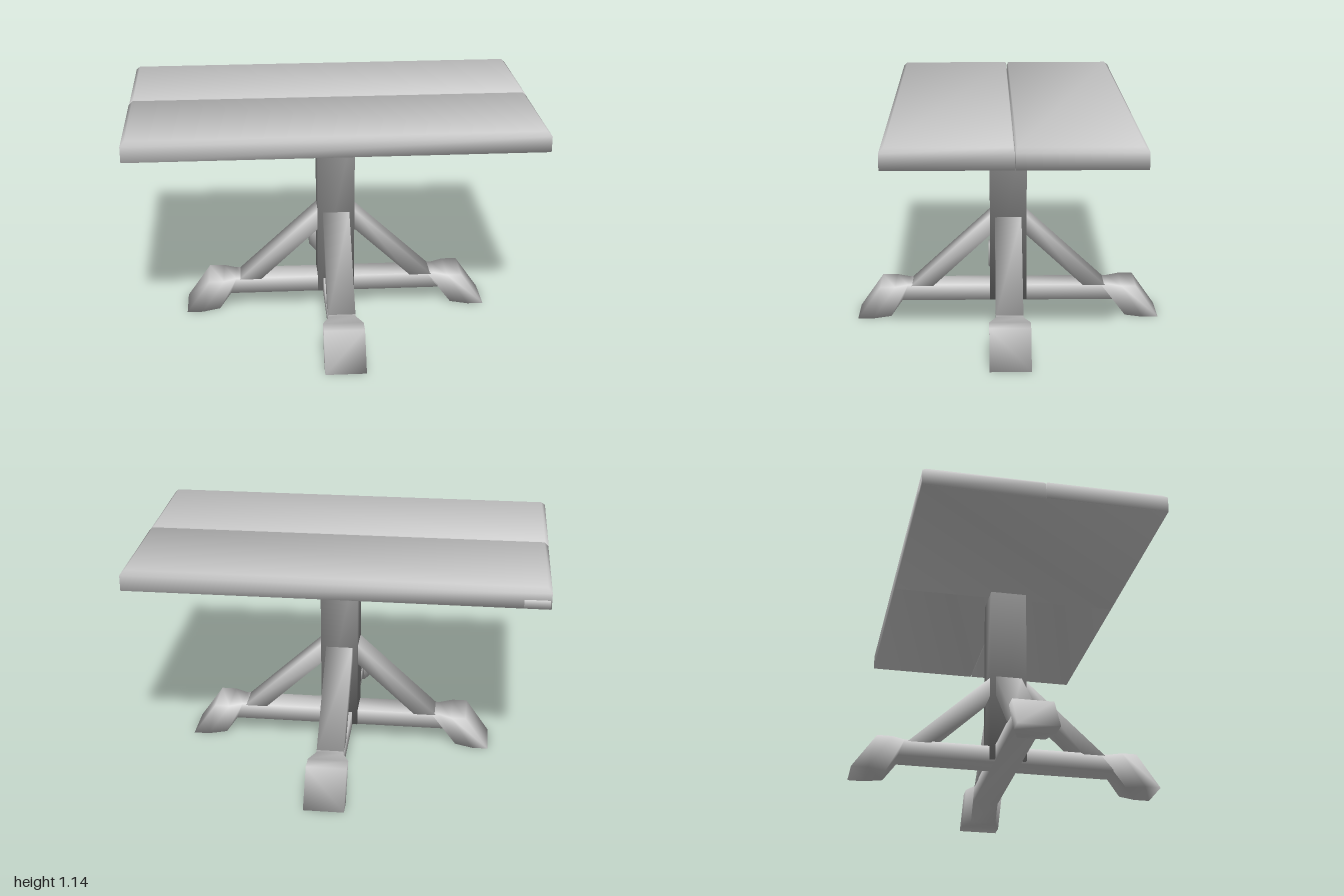
import * as THREE from 'three';
import { toCreasedNormals } from 'three/addons/utils/BufferGeometryUtils.js';

const grey = new THREE.MeshStandardMaterial({ color: 0xcccccc });
const darkGrey = new THREE.MeshStandardMaterial({ color: 0x888888 });

function part(name, geometry, parent, material = grey) {
  const mesh = new THREE.Mesh(geometry, material);
  mesh.name = name;
  parent.add(mesh);
  return mesh;
}

// Skins four-cornered rings, each counter-clockwise seen from the direction of travel,
// caps both ends and smooths the normals over every edge, each face counting alike.
function loft(rings) {
  const index = [];
  const last = (rings.length - 1) * 4;
  for (let i = 0; i < rings.length - 1; i++) {
    for (let j = 0; j < 4; j++) {
      const a = i * 4 + j, b = i * 4 + (j + 1) % 4;
      index.push(a, b, b + 4, a, b + 4, a + 4);
    }
  }
  index.push(0, 2, 1, 0, 3, 2, last, last + 1, last + 2, last, last + 2, last + 3);
  const geometry = new THREE.BufferGeometry();
  geometry.setAttribute('position', new THREE.Float32BufferAttribute(rings.flat(2), 3));
  geometry.setIndex(index);
  return toCreasedNormals(geometry, Math.PI);
}

// Level ring between x0..x1 and z0..z1, for lofting upwards
const levelRing = (y, x0, x1, z0, z1) => [[x0, y, z0], [x0, y, z1], [x1, y, z1], [x1, y, z0]];

// Plank with a bevelled upper edge, slighter on the inner side; outer is the sign of its outer side
function plankGeometry(length, width, outer) {
  const x = length / 2, z = width / 2;
  const back = outer < 0 ? 0.02 : 0.006, front = outer < 0 ? 0.006 : 0.02;
  return loft([
    levelRing(1.038, -x, x, -z, z),
    levelRing(1.115, -x, x, -z, z),
    levelRing(1.136, -x + 0.02, x - 0.02, -z + back, z - front),
  ]);
}

// Floor beam whose ends flare out and slope down into feet
function footBeamGeometry() {
  // top reach, bottom reach, bottom height, half width
  const stations = [
    [0.66, 0.78, 0, 0.1],
    [0.585, 0.70, 0, 0.1],
    [0.52, 0.61, 0, 0.067],
    [0.48, 0.55, 0.088, 0.067],
  ];
  const ring = ([top, bottom, y, w], s) =>
    [[s * bottom, y, -w], [s * top, 0.172, -w], [s * top, 0.172, w], [s * bottom, y, w]];
  return loft([
    ...stations.map((st) => ring(st, -1)),
    ...stations.slice().reverse().map((st) => ring(st, 1)),
  ]);
}

export function createModel() {
  const table = new THREE.Group();
  table.name = 'table';

  // Two-plank top, both planks slightly askew
  const back = part('backPlank', plankGeometry(1.998, 0.582, -1), table);
  back.position.z = -0.3055;
  back.rotation.y = 0.004;
  const front = part('frontPlank', plankGeometry(1.998, 0.59, 1), table);
  front.position.z = 0.284;
  front.rotation.y = 0.003;

  // Board let into the underside, joining the planks over one half
  part('undersideBoard', loft([
    levelRing(1.036, -0.995, 0, -0.593, 0.572),
    levelRing(1.08, -0.995, 0, -0.593, 0.572),
  ]), table);

  // Pedestal sits a little off centre
  const pedestal = new THREE.Group();
  pedestal.name = 'pedestal';
  pedestal.position.x = 0.027;
  table.add(pedestal);

  const h = 0.0935;
  const post = loft([levelRing(0.1, -h, h, -h, h), levelRing(1.05, -h, h, -h, h)]);
  part('post', post, pedestal, darkGrey);

  const beam = footBeamGeometry();
  part('sideFootBeam', beam, pedestal);
  part('crossFootBeam', beam, pedestal).rotation.y = Math.PI / 2;

  // Diagonal braces from the beams to the post
  const brace = loft([
    levelRing(0.165, 0.39, 0.505, -0.0675, 0.0675),
    [[0.075, 0.46, -0.0675], [0.075, 0.46, 0.0675], [0.09, 0.55, 0.0675], [0.09, 0.55, -0.0675]],
  ]);
  ['leftBrace', 'backBrace', 'rightBrace', 'frontBrace'].forEach((name, i) => {
    part(name, brace, pedestal).rotation.y = i * Math.PI / 2;
  });

  return table;
}
